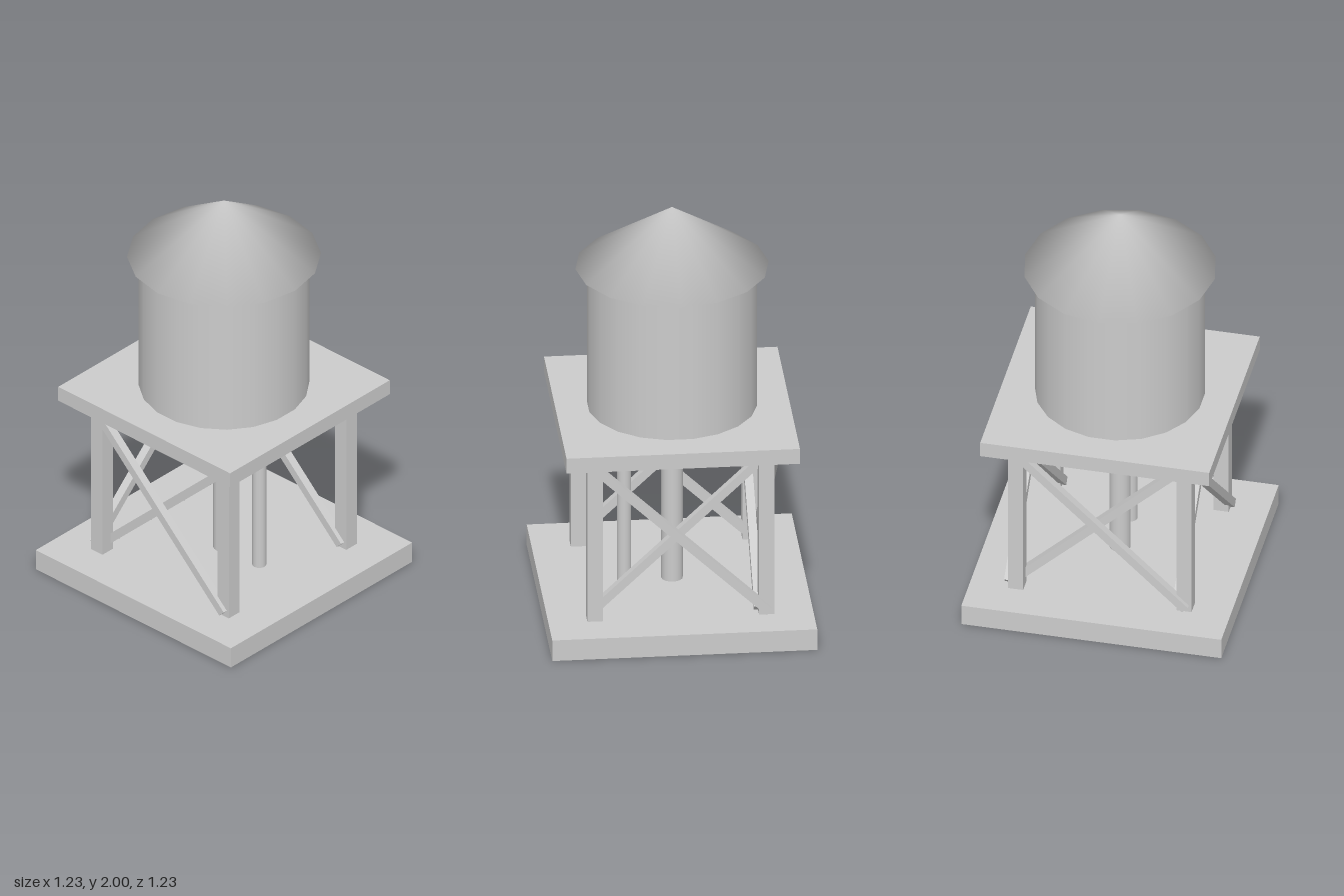
import * as THREE from 'three';
import { mergeVertices } from 'three/addons/utils/BufferGeometryUtils.js';

const material = new THREE.MeshStandardMaterial({ color: 0xcccccc });
const openMaterial = new THREE.MeshStandardMaterial({ color: 0xcccccc, side: THREE.DoubleSide });

function add(parent, name, geometry, x, y, z) {
  const mesh = new THREE.Mesh(geometry, material);
  mesh.name = name;
  mesh.position.set(x, y, z);
  parent.add(mesh);
  return mesh;
}

// Upright cylinder placed by its bottom and top heights
function upright(parent, name, radius, bottom, top, sides, z = 0) {
  const geometry = new THREE.CylinderGeometry(radius, radius, top - bottom, sides);
  return add(parent, name, geometry, 0, (bottom + top) / 2, z);
}

// Square block placed by its bottom and top heights
function block(parent, name, width, bottom, top, x = 0, z = 0) {
  const geometry = new THREE.BoxGeometry(width, top - bottom, width);
  return add(parent, name, geometry, x, (bottom + top) / 2, z);
}

export function createModel() {
  const model = new THREE.Group();
  model.name = 'waterTower';
  const legPos = 0.397;

  // Hollow base, open underneath: the box without its bottom face
  const base = block(model, 'base', 1.226, 0, 0.105);
  const faces = Array.from(base.geometry.index.array);
  faces.splice(18, 6);
  base.geometry.setIndex(faces);
  base.geometry.clearGroups();
  base.material = openMaterial;

  // Platform
  block(model, 'platform', 1.08, 0.921, 0.997);

  // Four square legs, their feet just showing under the base top
  const legs = new THREE.Group();
  legs.name = 'legs';
  for (const x of [-legPos, legPos]) {
    for (const z of [-legPos, legPos]) block(legs, 'leg', 0.072, 0.097, 0.925, x, z);
  }
  model.add(legs);

  // Crossed braces on both sides and the back; the two bars pass either side of the legs
  const braces = new THREE.Group();
  braces.name = 'braces';
  const tilt = THREE.MathUtils.degToRad(43.5);
  const offset = 0.037;
  const sideBar = new THREE.BoxGeometry(0.04, 0.04, 1.12);
  const backBar = new THREE.BoxGeometry(1.12, 0.04, 0.04);
  for (const s of [-1, 1]) {
    for (const x of [-legPos, legPos]) {
      // the bar at +x offset rises toward the front
      add(braces, 'sideBrace', sideBar, x + s * offset, 0.512, 0).rotation.x = -s * tilt;
    }
    // the outer bar rises toward +x
    add(braces, 'backBrace', backBar, 0, 0.512, -legPos + s * offset).rotation.z = -s * tilt;
  }
  model.add(braces);

  // Pipes between base and platform
  upright(model, 'mainPipe', 0.05, 0.105, 0.925, 16);
  upright(model, 'smallPipe', 0.033, 0.105, 0.925, 16, 0.222);

  // Tank, turned half a side so flats face the axes
  upright(model, 'tank', 0.393, 0.997, 1.705, 20).rotation.y = Math.PI / 20;

  // Conical roof, shaded smoothly over the tip and the eave
  const cone = new THREE.ConeGeometry(0.447, 0.298, 16);
  cone.deleteAttribute('normal');
  cone.deleteAttribute('uv');
  const roof = mergeVertices(cone);
  roof.computeVertexNormals();
  add(model, 'roof', roof, 0, 1.851, 0);

  return model;
}
